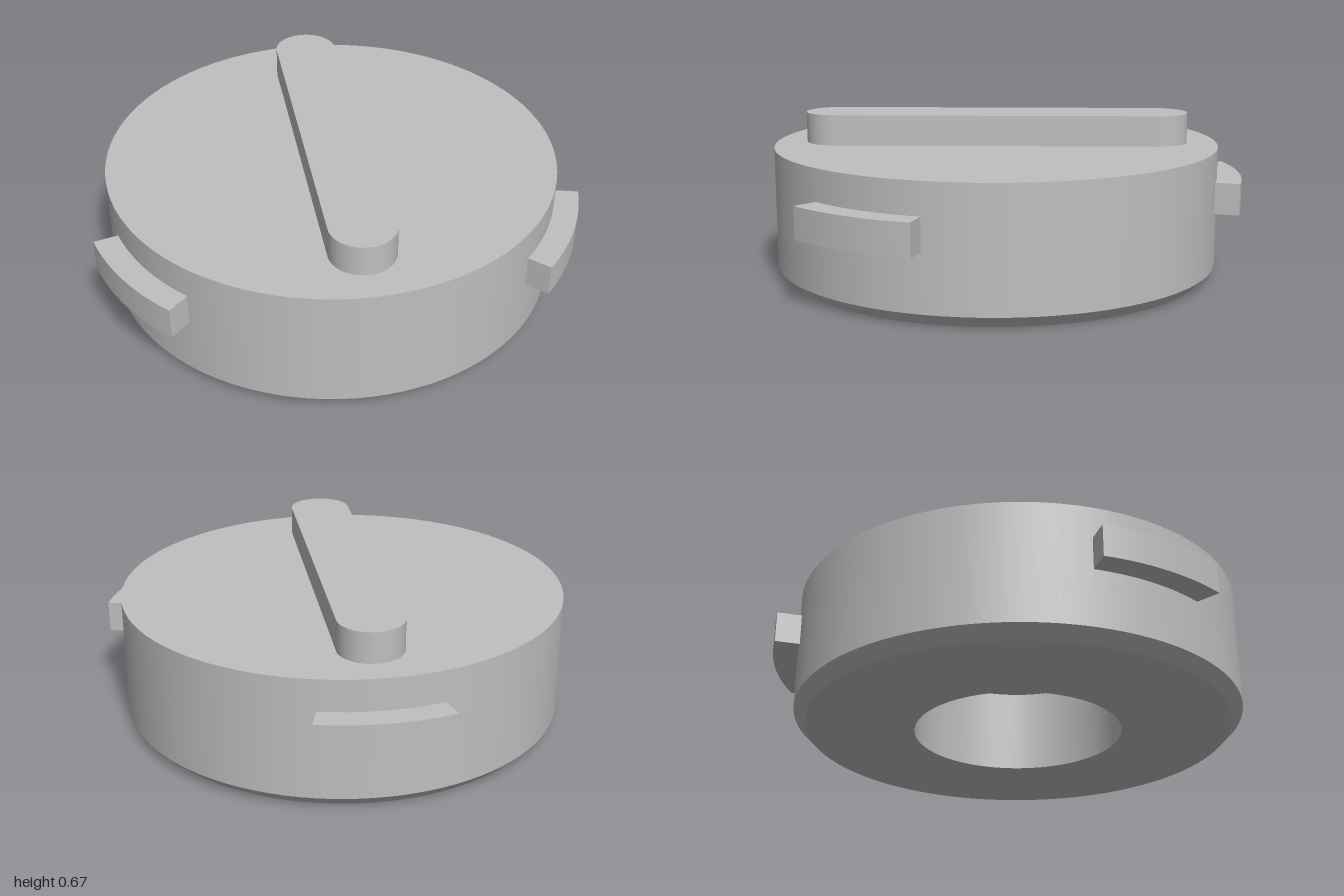
import * as THREE from 'three';
import { toCreasedNormals } from 'three/addons/utils/BufferGeometryUtils.js';

const RADIUS = 0.932;

// Extrude a plan shape upwards from height y, keeping its edges sharp
function slab(shape, y, height) {
  const geo = new THREE.ExtrudeGeometry(shape, { depth: height, bevelEnabled: false, curveSegments: 32 });
  geo.rotateX(-Math.PI / 2).translate(0, y, 0);
  return toCreasedNormals(geo, 0.5);
}

export function createModel() {
  const model = new THREE.Group();
  model.name = 'bayonetCap';
  const grey = new THREE.MeshStandardMaterial({ name: 'grey', color: 0xbfbfbf });

  const cap = new THREE.Group();
  cap.name = 'cap';
  cap.position.z = 0.047;
  model.add(cap);

  const add = (name, geo, parent = cap) => {
    const mesh = new THREE.Mesh(geo, grey);
    mesh.name = name;
    parent.add(mesh);
  };

  // Body: one lathe per profile segment, so every rim stays crisp
  const body = new THREE.Group();
  body.name = 'body';
  cap.add(body);
  const profile = [
    [0, 0.36], [0.432, 0.36], [0.432, 0], [0.883, 0],
    [RADIUS, 0.05], [RADIUS, 0.545], [0, 0.545],
  ].map(([r, y]) => new THREE.Vector2(r, y));
  const names = ['boreCeiling', 'boreWall', 'underside', 'chamfer', 'outerWall', 'topFace'];
  names.forEach((name, i) => add(name, new THREE.LatheGeometry([profile[i], profile[i + 1]], 96), body));

  // Rounded grip bar across the top
  const w = 0.132, l = 0.807 - w;
  const bar = new THREE.Shape();
  bar.absarc(0, l, w, 0, Math.PI);
  bar.absarc(0, -l, w, Math.PI, Math.PI * 2);
  bar.closePath();
  add('gripBar', slab(bar, 0.54, 0.132));

  // Three locking lugs, each a 30 degree arc
  const half = Math.PI / 12;
  [['backLug', 90], ['leftLug', -30], ['rightLug', 210]].forEach(([name, degrees]) => {
    const a = THREE.MathUtils.degToRad(degrees);
    const lug = new THREE.Shape();
    lug.absarc(0, 0, 1.033, a - half, a + half, false);
    lug.absarc(0, 0, RADIUS - 0.02, a + half, a - half, true);
    lug.closePath();
    add(name, slab(lug, 0.284, 0.131));
  });

  return model;
}
